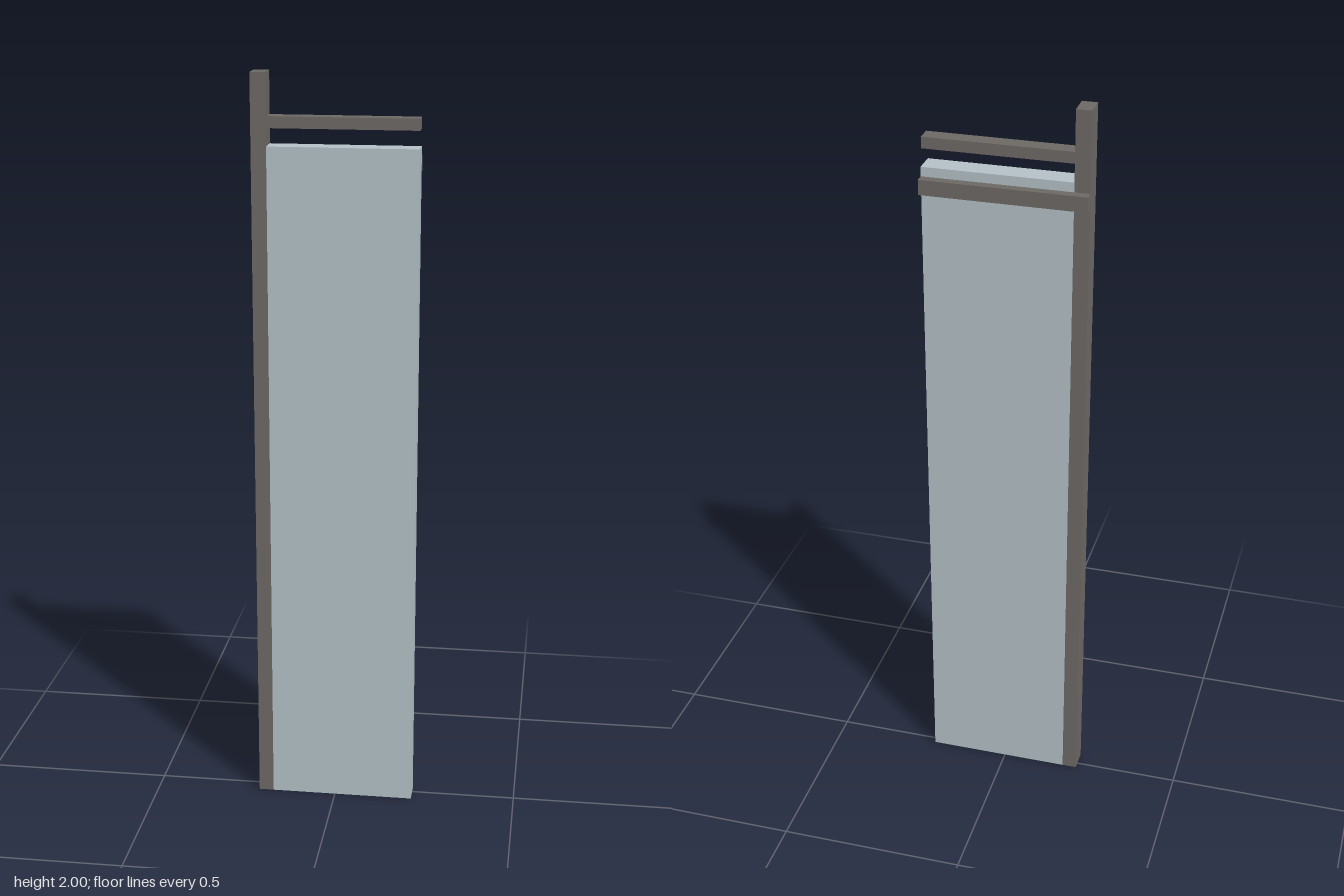
import * as THREE from 'three';

export function createModel() {
  const model = new THREE.Group();
  model.name = 'wallPanel';

  const timber = new THREE.MeshStandardMaterial({ color: 0x6c6864 });
  timber.name = 'dark timber';
  const board = new THREE.MeshStandardMaterial({ color: 0xb3c0c5 });
  board.name = 'pale board';

  // Box given by its minimum and maximum on each axis
  function addBox(name, material, [x0, x1], [y0, y1], [z0, z1]) {
    const mesh = new THREE.Mesh(new THREE.BoxGeometry(x1 - x0, y1 - y0, z1 - z0), material);
    mesh.position.set((x0 + x1) / 2, (y0 + y1) / 2, (z0 + z1) / 2);
    mesh.name = name;
    model.add(mesh);
  }

  const left = -0.215, inner = -0.175, right = 0.215;
  const back = -0.019, seam = -0.006, front = 0.041;

  // Full-height post on one side
  addBox('post', timber, [left, inner], [0, 2], [back, front]);

  // Panel in two layers that meet at a seam
  addBox('frontPanel', board, [inner, right], [0, 1.815], [seam, front]);
  addBox('backPanel', board, [inner, right], [0, 1.815], [back, seam]);

  // Rail above the panel and batten across the back
  addBox('topRail', timber, [inner, right], [1.86, 1.89], [-0.011, 0.032]);
  addBox('backBatten', timber, [left, right], [1.75, 1.79], [-0.043, back]);

  return model;
}
